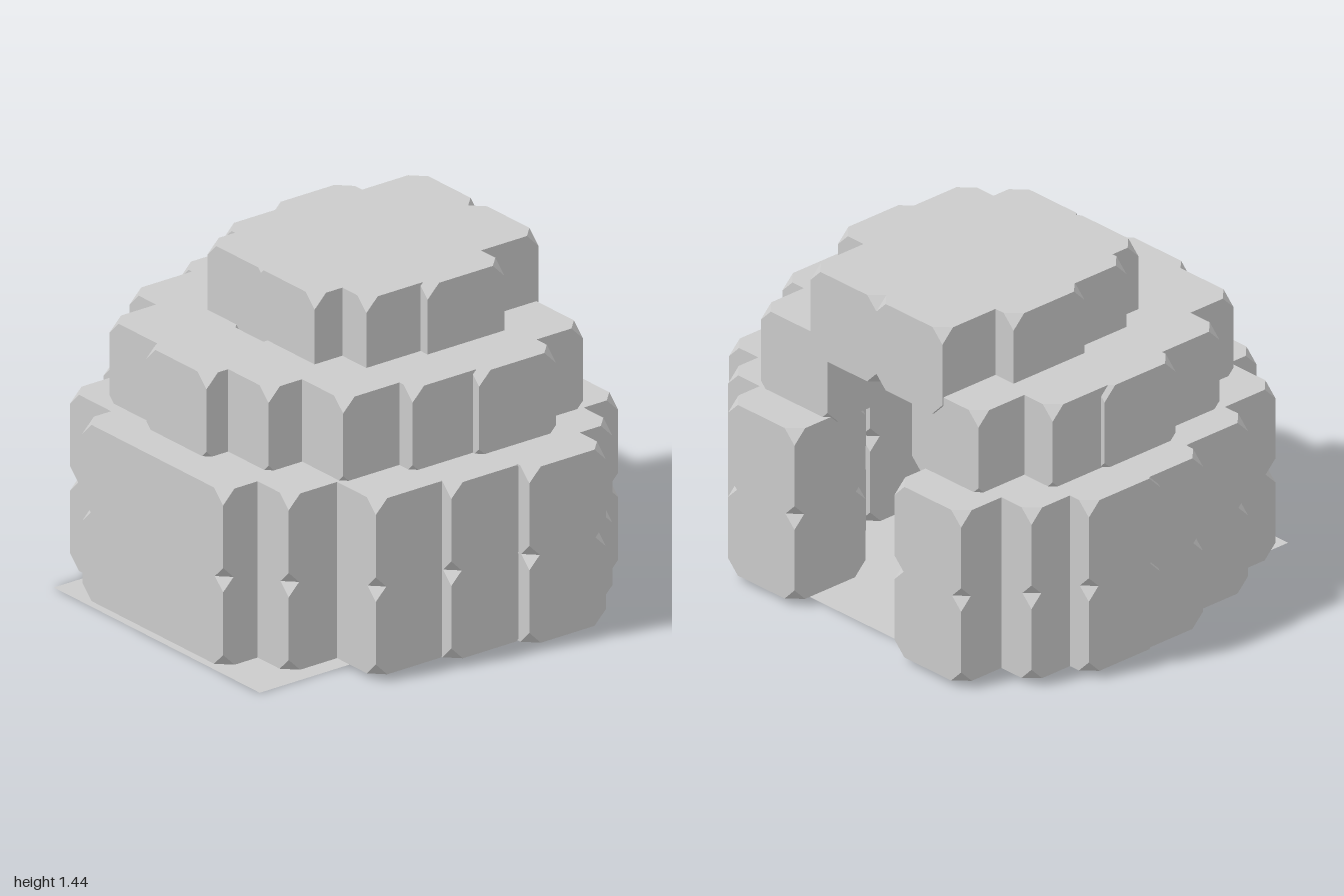
import * as THREE from 'three';
import { ConvexGeometry } from 'three/addons/geometries/ConvexGeometry.js';

const SIZE = 0.388; // block edge
const CUT = 0.058;  // length trimmed off each edge at a corner

// Cube with its eight corners sliced off
function blockGeometry() {
  const h = SIZE / 2, k = h - CUT, points = [];
  for (const x of [-1, 1]) for (const y of [-1, 1]) for (const z of [-1, 1]) {
    points.push(
      new THREE.Vector3(x * k, y * h, z * h),
      new THREE.Vector3(x * h, y * k, z * h),
      new THREE.Vector3(x * h, y * h, z * k));
  }
  return new ConvexGeometry(points);
}

// Block centres [x, z], running around each course; the doorway faces +x
const WALL = [
  [0.715, 0.45], [0.54, 0.635], [0.375, 0.805], [0.035, 0.735], [-0.30, 0.675],
  [-0.545, 0.425], [-0.72, 0.225], [-0.72, -0.03], [-0.72, -0.295], [-0.575, -0.56],
  [-0.30, -0.695], [0.04, -0.795], [0.285, -0.805], [0.495, -0.695], [0.715, -0.52],
];
const SHOULDER = [
  [0.54, 0.445], [0.305, 0.57], [0, 0.53], [-0.285, 0.445], [-0.455, 0.18], [-0.565, -0.08],
  [-0.52, -0.375], [-0.285, -0.545], [0.03, -0.625], [0.295, -0.605], [0.545, -0.44],
];
const CAP = [
  [0.55, 0.145], [0.26, 0.295], [-0.015, 0.25], [-0.155, 0.095], [-0.155, -0.21],
  [-0.015, -0.29], [0.26, -0.34], [0.55, -0.235], [0.10, -0.02], [0.40, -0.02],
];

export function createModel() {
  const model = new THREE.Group();
  model.name = 'snowBlockHut';
  const material = new THREE.MeshStandardMaterial({ color: 0xcccccc, flatShading: true });
  const geometry = blockGeometry();

  // Stacked courses, from the ground up
  const courses = [
    ['lowerWall', WALL, 0.218],
    ['upperWall', WALL, 0.596],
    ['shoulderRing', SHOULDER, 0.954],
    ['roofCap', CAP, 1.25],
  ];
  for (const [name, centres, y] of courses) {
    const course = new THREE.Group();
    course.name = name;
    for (const [x, z] of centres) {
      const block = new THREE.Mesh(geometry, material);
      block.name = 'snowBlock';
      block.position.set(x, y, z);
      course.add(block);
    }
    model.add(course);
  }

  // Thin floor sheet
  const floor = new THREE.Mesh(
    new THREE.PlaneGeometry(1.71, 1.33).rotateX(-Math.PI / 2),
    new THREE.MeshStandardMaterial({ color: 0xcccccc, side: THREE.DoubleSide }));
  floor.name = 'floor';
  floor.position.set(-0.06, 0, -0.008);
  model.add(floor);

  return model;
}
